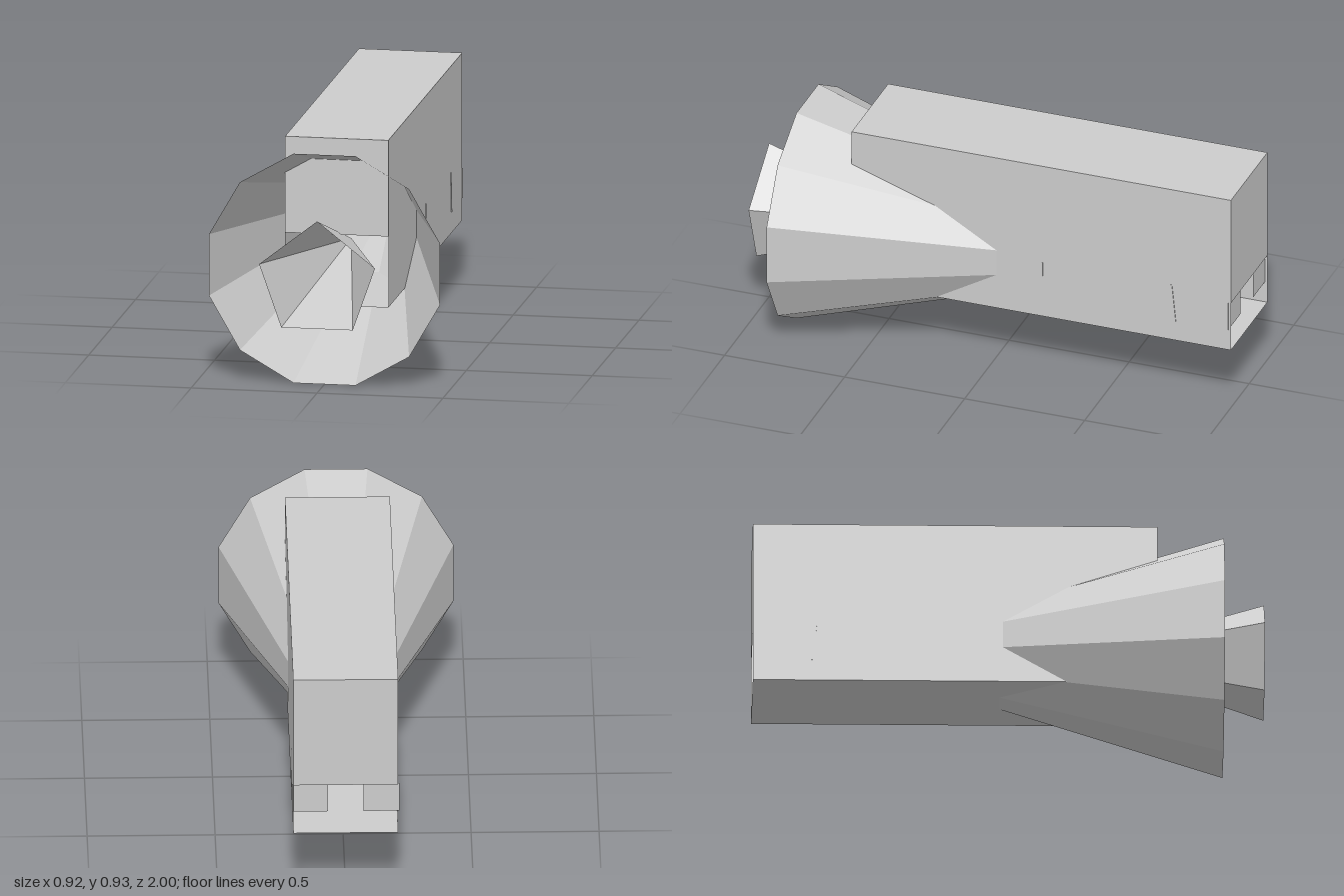
import * as THREE from 'three';

export function createModel() {
  const model = new THREE.Group();
  const grey = new THREE.MeshStandardMaterial({ color: 0xcccccc, side: THREE.DoubleSide });
  grey.name = 'light grey';
  grey.flatShading = true;

  const add = (name, geometry, x = 0, y = 0, z = 0) => {
    const mesh = new THREE.Mesh(geometry, grey);
    mesh.name = name;
    mesh.position.set(x, y, z);
    model.add(mesh);
    return mesh;
  };

  // Hollow box body, open along the lower part of both ends
  const W = 0.205, bottom = 0.26, top = 0.93, back = -1, front = 0.58;
  const length = front - back, midZ = (front + back) / 2, midY = (top + bottom) / 2;
  const level = () => new THREE.PlaneGeometry(2 * W, length).rotateX(-Math.PI / 2);
  add('bodyTop', level(), 0, top, midZ);
  add('bodyFloor', level(), 0, bottom, midZ);
  const endPanel = (name, low, z) =>
    add(name, new THREE.PlaneGeometry(2 * W, top - low), 0, (top + low) / 2, z);
  endPanel('bodyFrontPanel', 0.545, front);
  endPanel('bodyBackPanel', 0.47, back);

  for (const s of [1, -1]) {
    const side = s > 0 ? 'left' : 'right';
    add(side + 'BodyWall', new THREE.PlaneGeometry(length, top - bottom).rotateY(s * Math.PI / 2),
      s * W, midY, midZ);
    // Tabs hanging into the back opening
    add(side + 'BackTab', new THREE.PlaneGeometry(0.14, 0.12), s * 0.14, 0.41, back + 0.01);
    // Thin ribs on the side walls
    add(side + 'RearRib', new THREE.BoxGeometry(0.006, 0.16, 0.006), s * W, 0.425, -0.76).rotation.x = 0.1;
    add(side + 'MiddleRib', new THREE.BoxGeometry(0.006, 0.06, 0.004), s * W, 0.47, -0.215);
  }

  // Twelve-sided horn, flat sides on the axes, tip inside the body
  const hornLength = 1.56, apothem = 0.459;
  const horn = new THREE.ConeGeometry(apothem / Math.cos(Math.PI / 12), hornLength, 12, 1, true, Math.PI / 12);
  horn.rotateX(-Math.PI / 2);
  add('horn', horn, 0, 0.462, 0.84 - hornLength / 2);

  // Five-sided hollow inner cone
  const rim = [[0, 0.69], [-0.23, 0.51], [-0.142, 0.26], [0.142, 0.26], [0.23, 0.51]];
  const points = [];
  rim.forEach(([x, y], i) => {
    const [nx, ny] = rim[(i + 1) % rim.length];
    points.push(nx, ny, 1, x, y, 1, 0, 0.462, 0.27);
  });
  const innerCone = new THREE.BufferGeometry();
  innerCone.setAttribute('position', new THREE.Float32BufferAttribute(points, 3));
  innerCone.computeVertexNormals();
  add('innerCone', innerCone);

  return model;
}
